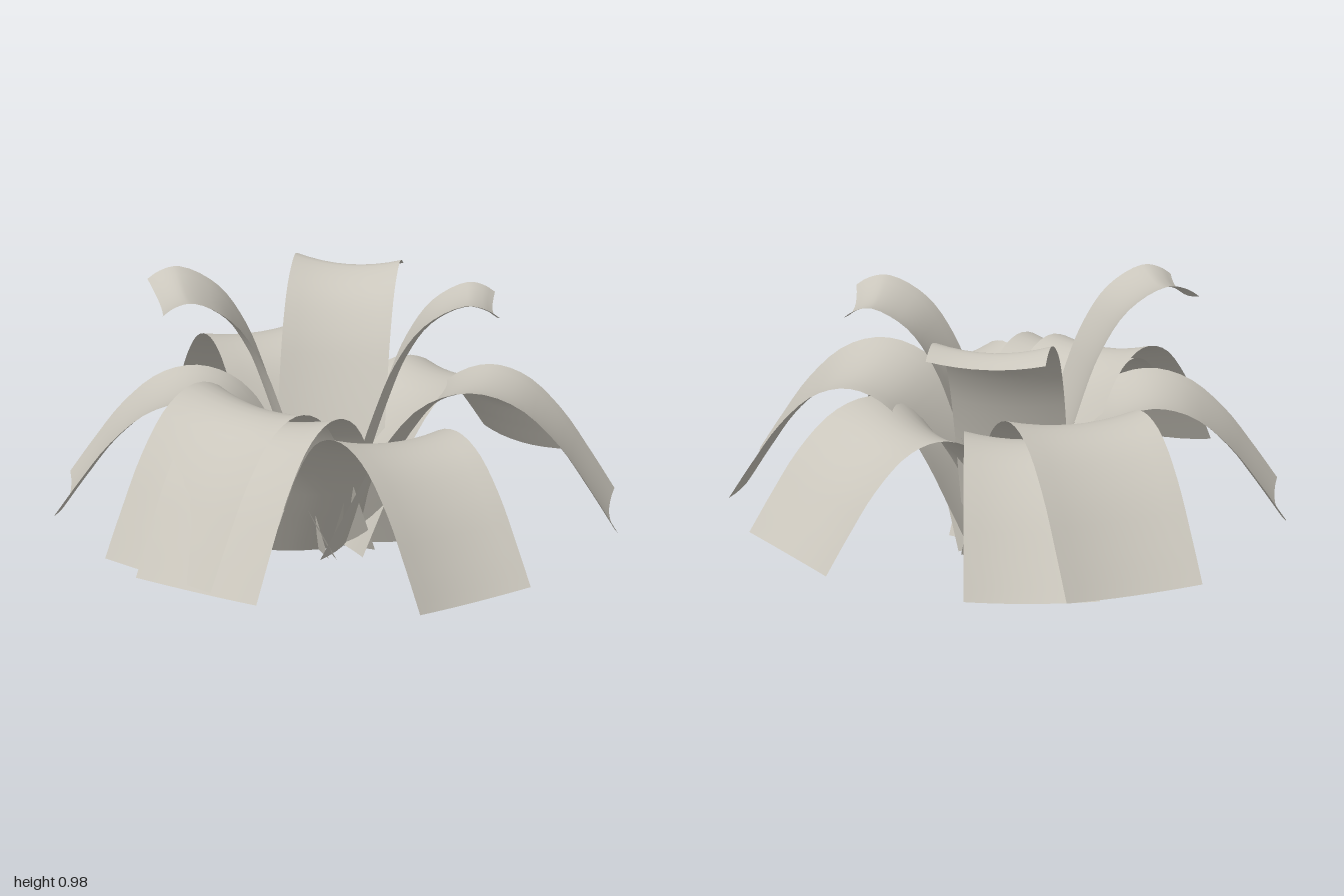
import * as THREE from 'three';

const leafMaterial = new THREE.MeshStandardMaterial({ color: 0xcac6bc, side: THREE.DoubleSide });
leafMaterial.name = 'pale stone grey';

// Side profiles as [share of reach, share of peak height]
const archProfile = [[0, 0.01], [0.11, 0.34], [0.23, 0.68], [0.36, 0.92], [0.5, 1], [0.64, 0.95],
  [0.78, 0.77], [0.9, 0.53], [1, 0.31]];
const uprightProfile = [[0, 0.01], [0.145, 0.3], [0.315, 0.61], [0.44, 0.79], [0.61, 0.93], [0.83, 1],
  [0.93, 0.99], [1, 0.965]];

// Leaves: tip centre x and z, outward direction, reach, peak height, width, sideways roll
const outerLeaves = [
  [-0.945, -0.017, -1, -0.015, 0.9, 0.57, 0.43, -0.01],
  [-0.383, -0.897, -0.345, -0.94, 0.9, 0.61, 0.465, 0.007],
  [-0.07, -0.917, 0, -1, 0.895, 0.555, 0.42, 0],
  [0.704, -0.491, 0.82, -0.57, 0.87, 0.535, 0.43, 0.025],
  [0.916, 0.239, 0.97, 0.245, 0.91, 0.625, 0.46, 0.03],
  [0.385, 0.855, 0.465, 0.885, 0.885, 0.55, 0.44, 0.023],
  [-0.474, 0.785, -0.5, 0.866, 0.91, 0.605, 0.46, -0.018],
  [-0.594, 0.686, -0.615, 0.788, 0.88, 0.64, 0.42, 0.012],
];
const innerLeaves = [
  [0.518, 0.06, 0.993, 0.11, 0.508, 0.9, 0.36, 0.015],
  [-0.602, 0.078, -0.988, 0.155, 0.515, 0.95, 0.38, 0.006],
  [0.068, -0.587, 0.2, -0.98, 0.54, 0.86, 0.385, -0.004],
];

// Bend a flat strip along its profile, roll it a little and lift both long edges into a trough
function makeLeaf([tipX, tipZ, dx, dz, reach, peak, width, roll], profile, name) {
  const dir = new THREE.Vector3(dx, 0, dz).normalize();
  const side = new THREE.Vector3(-dir.z, 0, dir.x);
  const base = new THREE.Vector3(tipX, 0, tipZ).addScaledVector(dir, -reach);
  const curve = new THREE.CatmullRomCurve3(
    profile.map(([r, y]) => new THREE.Vector3(r * reach, y * peak, 0)));
  const geometry = new THREE.PlaneGeometry(1, 1, 8, 28);
  const position = geometry.attributes.position;
  const point = new THREE.Vector3();
  for (let i = 0; i < position.count; i++) {
    const across = position.getX(i);
    const t = THREE.MathUtils.clamp(position.getY(i) + 0.5, 0, 1);
    const centre = curve.getPoint(t);
    const tangent = curve.getTangent(t);
    const lift = 0.028 * (2 * across) ** 2 + roll * 2 * across;
    point.copy(base)
      .addScaledVector(dir, centre.x - tangent.y * lift)
      .addScaledVector(side, across * width);
    point.y = centre.y + tangent.x * lift;
    position.setXYZ(i, point.x, point.y, point.z);
  }
  geometry.computeVertexNormals();
  const leaf = new THREE.Mesh(geometry, leafMaterial);
  leaf.name = name;
  return leaf;
}

export function createModel() {
  const plant = new THREE.Group();
  plant.name = 'leafyPlant';
  // Drooping outer ring
  outerLeaves.forEach((leaf, i) => plant.add(makeLeaf(leaf, archProfile, `outerLeaf${i + 1}`)));
  // Upright leaves in the middle
  innerLeaves.forEach((leaf, i) => plant.add(makeLeaf(leaf, uprightProfile, `innerLeaf${i + 1}`)));
  return plant;
}
